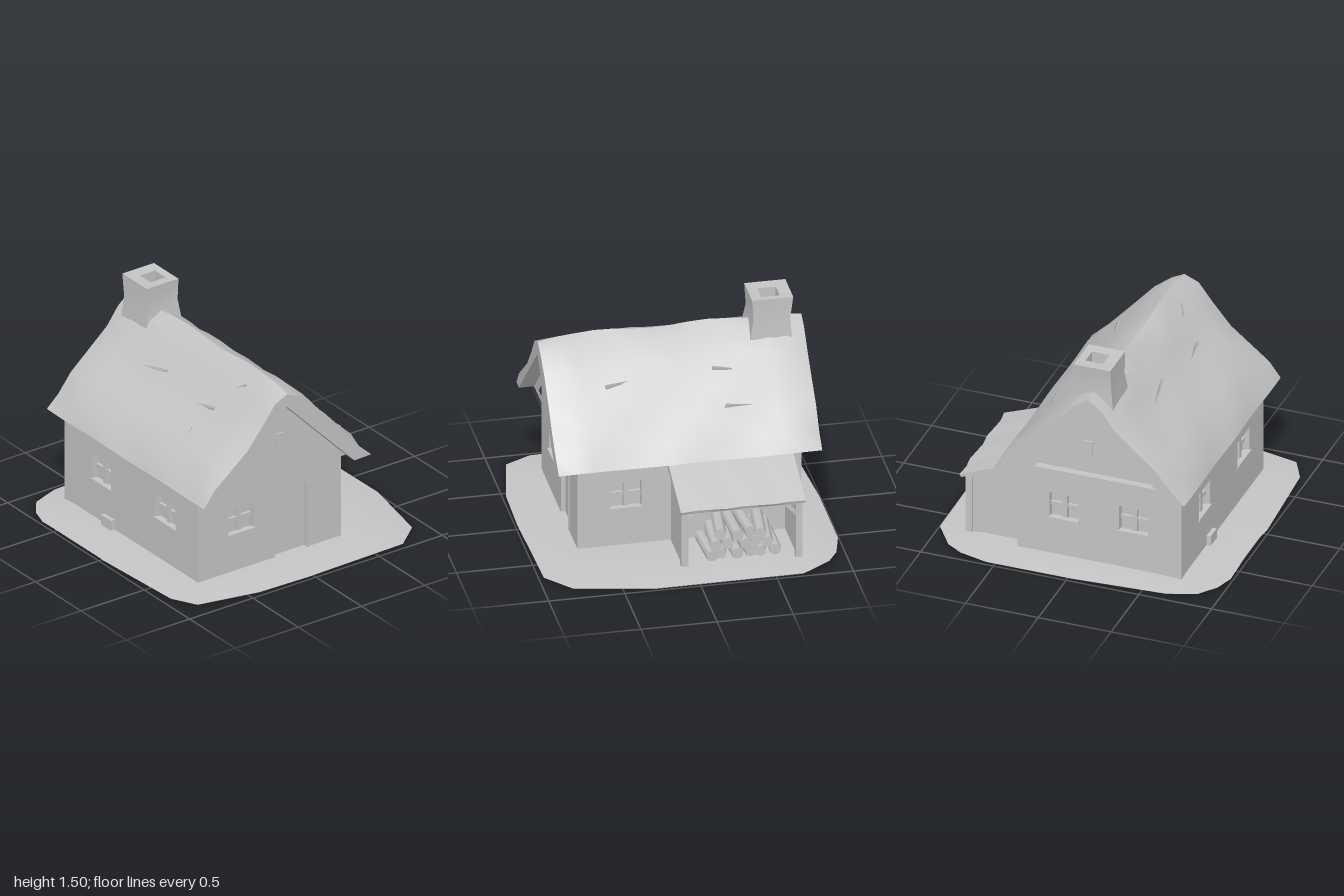
import * as THREE from 'three';
import { toCreasedNormals } from 'three/addons/utils/BufferGeometryUtils.js';

const stone = new THREE.MeshStandardMaterial({ color: 0xc4c4c4 });
stone.name = 'plain grey';

function add(parent, name, geo, x = 0, y = 0, z = 0) {
  const m = new THREE.Mesh(geo, stone);
  m.name = name;
  m.position.set(x, y, z);
  parent.add(m);
  return m;
}
const box = (parent, name, w, h, d, x, y, z) => add(parent, name, new THREE.BoxGeometry(w, h, d), x, y, z);

// Skin over rings of points, with both ends closed
function loft(rings, crease = 0.6) {
  const n = rings[0].length, pos = rings.flat(2), idx = [], last = (rings.length - 1) * n;
  for (let k = 0; k < rings.length - 1; k++) {
    for (let i = 0; i < n; i++) {
      const a = k * n + i, b = k * n + (i + 1) % n;
      idx.push(a, b, b + n, a, b + n, a + n);
    }
  }
  for (let i = 0; i < (n - 2) / 2; i++) {
    const [a, b, c, d] = [i, i + 1, n - 2 - i, n - 1 - i];
    idx.push(a, c, b, a, d, c);
    idx.push(last + a, last + b, last + c, last + a, last + c, last + d);
  }
  const g = new THREE.BufferGeometry();
  g.setAttribute('position', new THREE.Float32BufferAttribute(pos, 3));
  g.setIndex(idx);
  return toCreasedNormals(g, crease);
}

const shapeOf = (pts) => new THREE.Shape(pts.map(([x, y]) => new THREE.Vector2(x, y)));
const slab = (shape, depth) => new THREE.ExtrudeGeometry(shape, { depth, bevelEnabled: false });
const hole = (u0, v0, u1, v1) => new THREE.Path(
  [[u0, v0], [u0, v1], [u1, v1], [u1, v0]].map(([x, y]) => new THREE.Vector2(x, y)));

// Wall facing local +z, with recessed openings [u0, v0, u1, v1]
function wall(parent, name, outline, dist, turn, windows, door) {
  const g = new THREE.Group();
  g.name = name;
  g.rotation.y = turn;
  parent.add(g);
  const shape = shapeOf(outline), t = 0.06;
  for (const w of windows) shape.holes.push(hole(...w));
  if (door) shape.holes.push(hole(...door));
  add(g, name + 'Panel', slab(shape, t), 0, 0, dist - t);
  for (const [u0, v0, u1, v1] of windows) {
    const u = (u0 + u1) / 2, v = (v0 + v1) / 2, w = u1 - u0, h = v1 - v0;
    box(g, 'windowPane', w + 0.02, h + 0.02, 0.01, u, v, dist - 0.055);
    box(g, 'windowMullion', 0.03, h, 0.03, u, v, dist - 0.035);
    box(g, 'windowBar', w, 0.025, 0.02, u, v, dist - 0.04);
    box(g, 'windowSill', w + 0.02, 0.02, 0.04, u, v0, dist - 0.01);
  }
  if (door) {
    const [u0, v0, u1, v1] = door;
    box(g, 'doorLeaf', u1 - u0, v1 - v0, 0.02, (u0 + u1) / 2, (v0 + v1) / 2, dist - 0.04);
    box(g, 'doorPost', 0.02, v1 - v0, 0.05, u1, (v0 + v1) / 2, dist - 0.02);
  }
  return g;
}

export function createModel() {
  const house = new THREE.Group();
  house.name = 'cottage';

  // Ground slab
  const rim = [[-0.68, -0.99], [0.29, -1], [0.82, -0.89], [0.97, -0.71], [0.99, 0.05], [0.98, 0.43],
    [0.89, 0.86], [0.72, 0.95], [0.03, 0.99], [-0.13, 0.97], [-0.63, 0.99], [-0.76, 0.95],
    [-0.88, 0.86], [-0.95, 0.67], [-0.99, 0.03], [-0.99, -0.56], [-0.94, -0.75], [-0.87, -0.86]].reverse();
  const rimRing = (s, y) => rim.map(([x, z]) => [x * s, y, z * s]);
  add(house, 'ground', loft([rimRing(0.98, 0.005), rimRing(1, 0.02), rimRing(0.8, 0.05)]));

  // Walls; the two end walls rise into gables
  const low = 0.03, eave = 0.67;
  const rect = (a, b) => [[a, low], [b, low], [b, eave], [a, eave]];
  const gable = (a, b, top) => [[a, low], [b, low], [b, eave], [top, 1.2], [a, eave]];
  wall(house, 'frontWall', rect(-0.78, 0.69), 0.71, 0,
    [[-0.47, 0.31, -0.27, 0.5], [0.22, 0.32, 0.44, 0.5]]);
  wall(house, 'backWall', rect(-0.69, 0.78), 0.42, Math.PI, [[-0.47, 0.31, -0.27, 0.5]]);
  const ends = [
    wall(house, 'doorEndWall', gable(-0.71, 0.42, -0.115), 0.69, Math.PI / 2,
      [[-0.47, 0.31, -0.27, 0.5]], [-0.1, 0.05, 0.16, 0.52]),
    wall(house, 'chimneyEndWall', gable(-0.42, 0.71, 0.115), 0.78, -Math.PI / 2,
      [[-0.2, 0.31, 0, 0.5], [0.28, 0.31, 0.48, 0.5]]),
  ];

  // Triangular timber frame on each gable
  ends.forEach((g, i) => {
    const s = i ? 1 : -1;
    const frame = shapeOf([[s * 0.7, 0.655], [s * 0.115, 1.21], [s * -0.42, 0.655]]);
    frame.holes.push(new THREE.Path(
      [[0.55, 0.705], [0.115, 1.11], [-0.29, 0.705]].map(([x, y]) => new THREE.Vector2(s * x, y))));
    add(g, 'gableFrame', slab(frame, 0.06), 0, 0, i ? 0.77 : 0.68);
    box(g, 'gableVent', 0.06, 0.1, 0.02, s * 0.07, 0.89, i ? 0.78 : 0.69);
  });

  // Sagging thick roof
  const top = [[-0.55, 0.66], [-0.47, 0.77], [-0.36, 0.9], [-0.24, 1.03], [-0.1, 1.17], [0.02, 1.28],
    [0.11, 1.33], [0.21, 1.27], [0.3, 1.15], [0.44, 1.01], [0.59, 0.89], [0.7, 0.78], [0.77, 0.66]];
  const roofRings = [];
  for (let k = 0; k <= 14; k++) {
    const x = -0.89 + 1.73 * k / 14, end = k % 14 === 0 ? 0.025 : 0;
    const outer = top.map(([z, y], j) => {
      const lump = (j % 12 ? 0.012 : 0.004) * Math.sin(x * 9 + j * 1.7) - (j % 12 ? end : 0);
      return [x, y + (j % 12 ? lump : 0), z + (z - 0.11) * lump];
    });
    const inner = top.map((_, j) => {
      const t = 1 - Math.abs(j - 6) / 6;
      return [x, 0.655 + 0.55 * t, j < 6 ? -0.42 + 0.535 * t : 0.7 - 0.585 * t];
    });
    roofRings.push([...outer, ...inner.reverse()]);
  }
  add(house, 'roof', loft(roofRings));

  // Lifted slivers of thatch: x, y, z, length, tilt
  for (const [x, y, z, len, tilt] of [[-0.28, 1.09, 0.36, 0.25, 1.8], [0.31, 1.07, 0.38, 0.18, 1.75],
    [0.35, 0.92, 0.55, 0.14, 0.2], [0.49, 1.24, 0.23, 0.1, 2.2], [-0.38, 0.93, -0.33, 0.2, 1.6],
    [0.35, 1.09, -0.18, 0.22, 1.4], [-0.35, 1.11, -0.16, 0.2, 1.7]]) {
    const m = add(house, 'thatchSliver', new THREE.ConeGeometry(0.018, len, 3), x, y, z);
    m.rotation.set(z > 0 ? -0.8 : 0.8, 0, tilt);
  }

  // Tapered chimney with a square flue
  const square = (x0, x1, z0, z1, y) => [[x0, y, z0], [x0, y, z1], [x1, y, z1], [x1, y, z0]];
  add(house, 'chimney', loft([
    square(-0.8, -0.51, -0.04, 0.25, 1.08), square(-0.8, -0.52, -0.035, 0.245, 1.21),
    square(-0.79, -0.55, -0.02, 0.23, 1.36), square(-0.81, -0.54, -0.02, 0.23, 1.51),
    square(-0.73, -0.61, 0.03, 0.15, 1.505), square(-0.73, -0.61, 0.03, 0.15, 1.4)], 0.4));

  // Woodshed against the back wall
  const shed = new THREE.Group();
  shed.name = 'woodshed';
  house.add(shed);
  const shedRings = [];
  for (let k = 0; k <= 8; k++) {
    const x = -0.72 + 0.82 * k / 8, w = 0.008 * Math.sin(k * 2.1);
    shedRings.push([[x, 0.445, -0.83], [x, 0.465, -0.84 + w], [x, 0.55 + w, -0.63],
      [x, 0.63, -0.41], [x, 0.59, -0.41], [x, 0.515, -0.63]]);
  }
  add(shed, 'shedRoof', loft(shedRings));
  for (const x of [-0.685, 0.065]) {
    const side = slab(shapeOf([[0.41, 0.03], [0.78, 0.03], [0.78, 0.46], [0.41, 0.6]]), 0.025);
    add(shed, 'shedSide', side, x - 0.0125).rotation.y = Math.PI / 2;
    box(shed, 'shedPost', 0.045, 0.41, 0.045, x, 0.245, -0.78);
    const brace = box(shed, 'shedBrace', 0.025, 0.14, 0.025, x + (x < 0 ? 0.05 : -0.05), 0.39, -0.78);
    brace.rotation.z = x < 0 ? -0.75 : 0.75;
  }
  box(shed, 'shedBeam', 0.79, 0.035, 0.035, -0.31, 0.44, -0.78);

  // Stacked logs
  for (let row = 0; row < 3; row++) {
    for (let i = 0; i < 6 - row; i++) {
      const log = add(shed, 'log', new THREE.CylinderGeometry(0.038, 0.04, 0.3, 7),
        -0.54 + (i + row / 2) * 0.085, 0.085 + row * 0.068, -0.6 - 0.02 * Math.sin(i * 3 + row));
      log.rotation.set(Math.PI / 2, 0, 0.12 * Math.sin(i * 2 + row));
    }
  }

  // Loose stone at the foot of the front wall
  box(house, 'footStone', 0.11, 0.07, 0.04, -0.28, 0.085, 0.72);
  return house;
}
